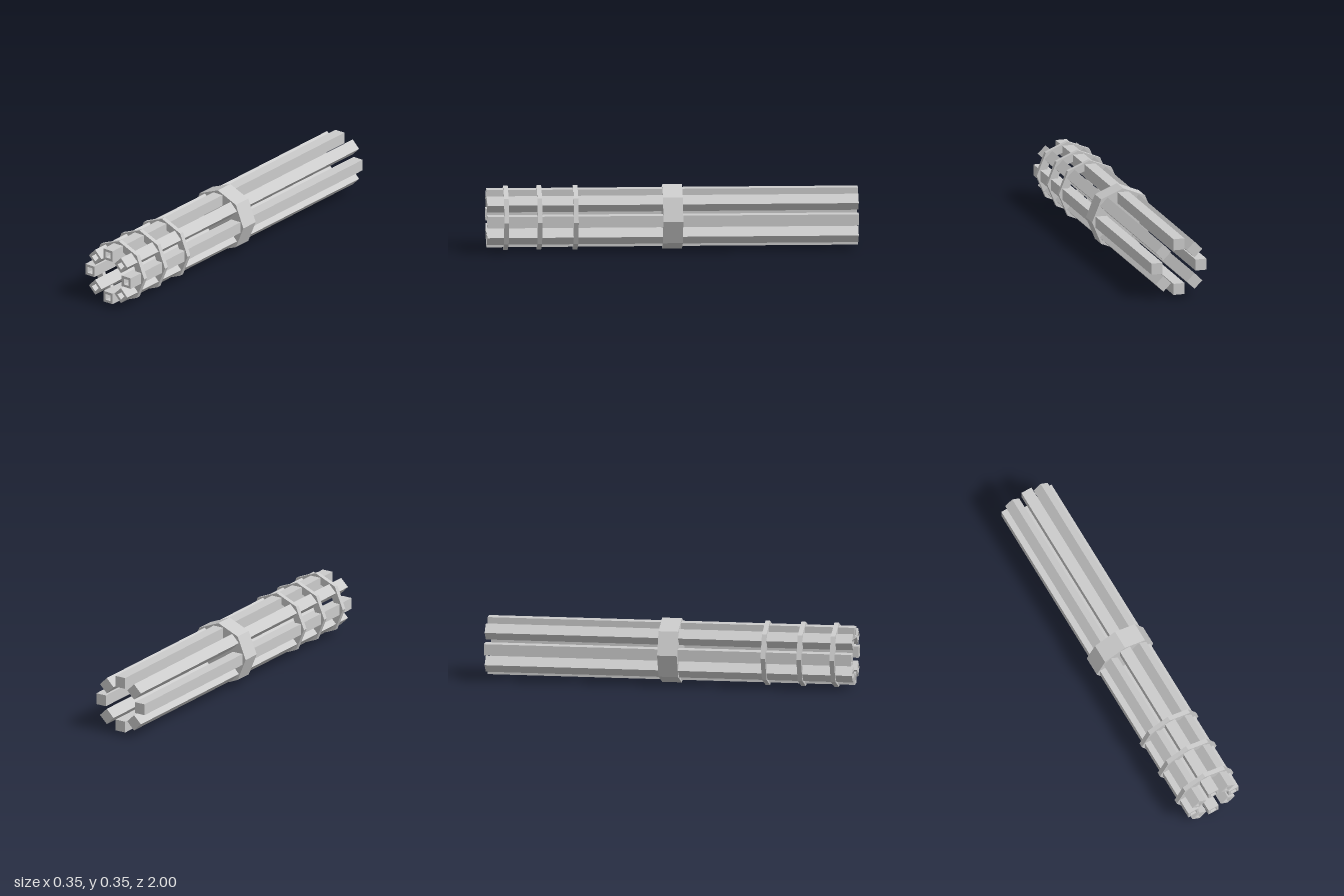
import * as THREE from 'three';

const AXIS_Y = 0.176;
const material = new THREE.MeshStandardMaterial({ color: 0xcccccc, flatShading: true });

// Closed outline with its first corner on +x
function outline(Kind, sides, radius, turn = 0) {
  const points = [];
  for (let i = 0; i < sides; i++) {
    const a = turn + (i / sides) * Math.PI * 2;
    points.push(new THREE.Vector2(Math.cos(a) * radius, Math.sin(a) * radius));
  }
  return new Kind(points);
}

// Prism along z, centred on the given z
function prism(name, shape, z, depth) {
  const geometry = new THREE.ExtrudeGeometry(shape, { depth, bevelEnabled: false });
  geometry.translate(0, 0, z - depth / 2);
  const mesh = new THREE.Mesh(geometry, material);
  mesh.name = name;
  return mesh;
}

// Square bar with a shallow square bore at its front end
function createBarrel() {
  const barrel = new THREE.Group();
  const half = 0.031 * Math.SQRT2, bore = 0.017 * Math.SQRT2, boreDepth = 0.05;
  const bar = outline(THREE.Shape, 4, half, Math.PI / 4);
  const muzzle = outline(THREE.Shape, 4, half, Math.PI / 4);
  muzzle.holes.push(outline(THREE.Path, 4, bore, Math.PI / 4));
  barrel.add(prism('barrelBar', bar, -boreDepth / 2, 2 - boreDepth));
  barrel.add(prism('barrelMuzzle', muzzle, 1 - boreDepth / 2, boreDepth));
  return barrel;
}

export function createModel() {
  const model = new THREE.Group();
  model.name = 'rotaryBarrelCluster';
  const cluster = new THREE.Group();
  cluster.name = 'cluster';
  cluster.position.y = AXIS_Y;
  model.add(cluster);

  // Eight barrels around the axis, each turned to face outwards
  for (let i = 0; i < 8; i++) {
    const a = (i / 8) * Math.PI * 2;
    const barrel = createBarrel();
    barrel.name = 'barrel' + (i + 1);
    barrel.position.set(Math.cos(a) * 0.125, Math.sin(a) * 0.125, 0);
    barrel.rotation.z = a;
    cluster.add(barrel);
  }

  // Solid octagonal collar at mid length
  cluster.add(prism('middleCollar', outline(THREE.Shape, 8, 0.176), 0, 0.107));

  // Three thin open clamp rings towards the front
  [0.522, 0.717, 0.897].forEach((z, i) => {
    const ring = outline(THREE.Shape, 8, 0.176);
    ring.holes.push(outline(THREE.Path, 8, 0.13));
    cluster.add(prism('clampRing' + (i + 1), ring, z, 0.025));
  });

  return model;
}
